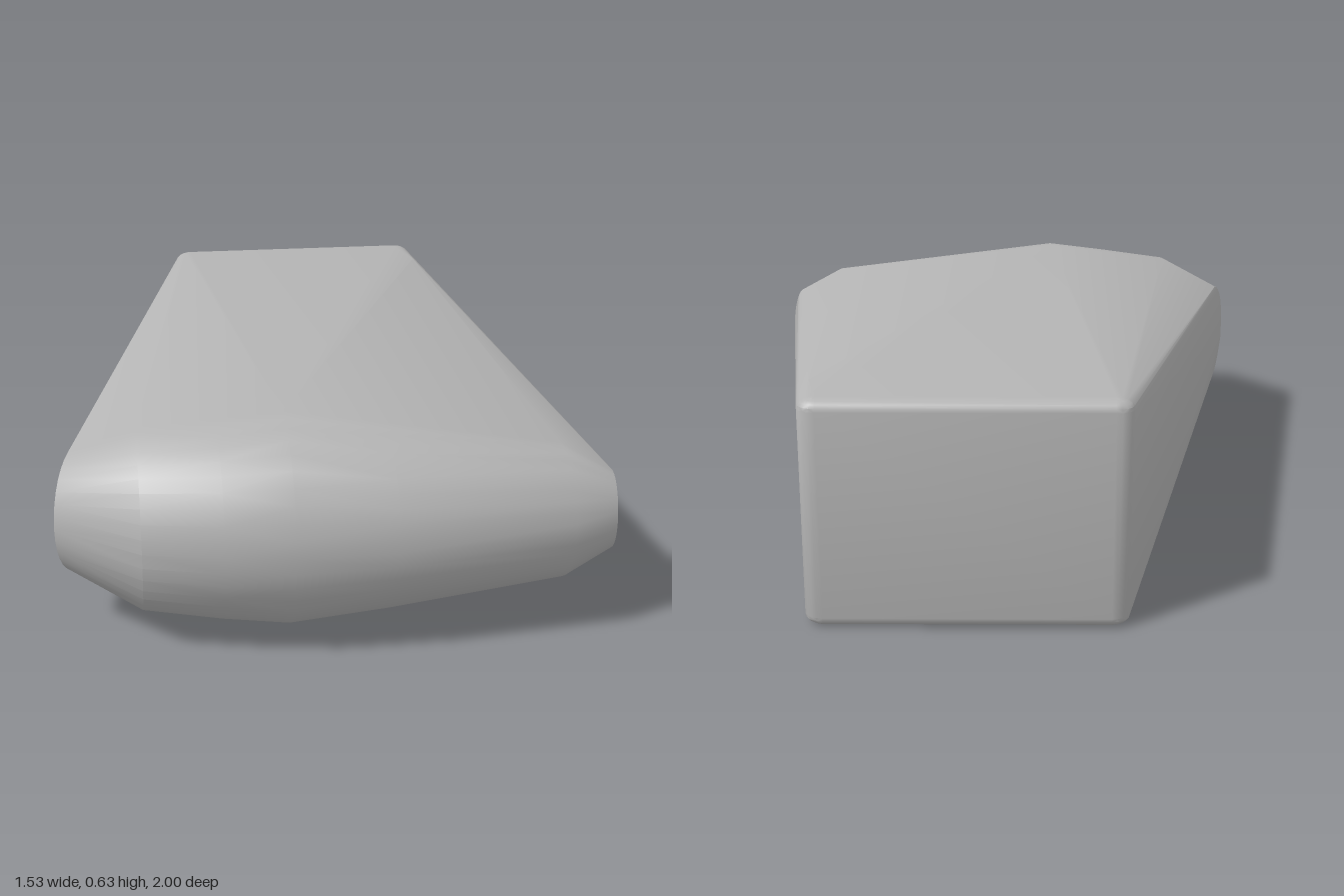
import * as THREE from 'three';
import { ConvexGeometry } from 'three/addons/geometries/ConvexGeometry.js';
import { toCreasedNormals } from 'three/addons/utils/BufferGeometryUtils.js';

const MID = 0.315; // height of the horizontal symmetry plane

// Circle of points across the nose; tilt shifts x along z
function ring(x, z, r, tilt = 0, n = 40) {
  const pts = [];
  for (let i = 0; i < n; i++) {
    const a = (i / n) * Math.PI * 2;
    const dz = Math.cos(a) * r;
    pts.push(new THREE.Vector3(x + dz * tilt, MID + Math.sin(a) * r, z + dz));
  }
  return pts;
}

// Rounded corner of the rear block, facing (sx, sy, -z)
function corner(x, y, z, sx, sy, rx, ry, rz, n = 5) {
  const pts = [];
  for (let i = 0; i <= n; i++) {
    for (let j = 0; j <= n; j++) {
      const a = (i / n) * Math.PI / 2, b = (j / n) * Math.PI / 2;
      pts.push(new THREE.Vector3(
        x - sx * rx + sx * rx * Math.cos(b) * Math.cos(a),
        y - sy * ry + sy * ry * Math.sin(b),
        z + rz - rz * Math.cos(b) * Math.sin(a)));
    }
  }
  return pts;
}

export function createModel() {
  const grey = new THREE.MeshStandardMaterial({ color: 0xb4b4b4 });
  grey.name = 'plain grey';

  // Rounded nose: rings from the left flat end to the right shoulder
  const points = [
    ...ring(0.745, 0.785, 0.108, -0.14),
    ...ring(0.6, 0.76, 0.19),
    ...ring(0.12, 0.75, 0.25),
    ...ring(-0.15, 0.705, 0.295),
    ...ring(-0.33, 0.7, 0.275),
    ...ring(-0.54, 0.665, 0.255),
  ];

  // Curved right-hand tip, mirrored about the mid height
  for (let i = -8; i <= 8; i++) {
    const a = (i / 8) * Math.PI / 2;
    points.push(new THREE.Vector3(-0.71 - 0.055 * Math.cos(a), MID + 0.175 * Math.sin(a), 0.58 + 0.15 * Math.cos(a)));
  }
  points.push(new THREE.Vector3(-0.745, MID, 0.58));

  // Rear block corners and the shoulder ahead of them
  for (const sy of [-1, 1]) {
    const y = MID + sy * MID;
    points.push(...corner(0.522, y, -1, 1, sy, 0.05, 0.03, 0.04));
    points.push(...corner(-0.332, y, -1, -1, sy, 0.05, 0.03, 0.04));
    points.push(new THREE.Vector3(0.51, y - sy * 0.01, -0.8));
  }

  const body = new THREE.Mesh(toCreasedNormals(new ConvexGeometry(points), 0.45), grey);
  body.name = 'body';
  const model = new THREE.Group();
  model.name = 'taperedBlock';
  model.add(body);
  return model;
}
